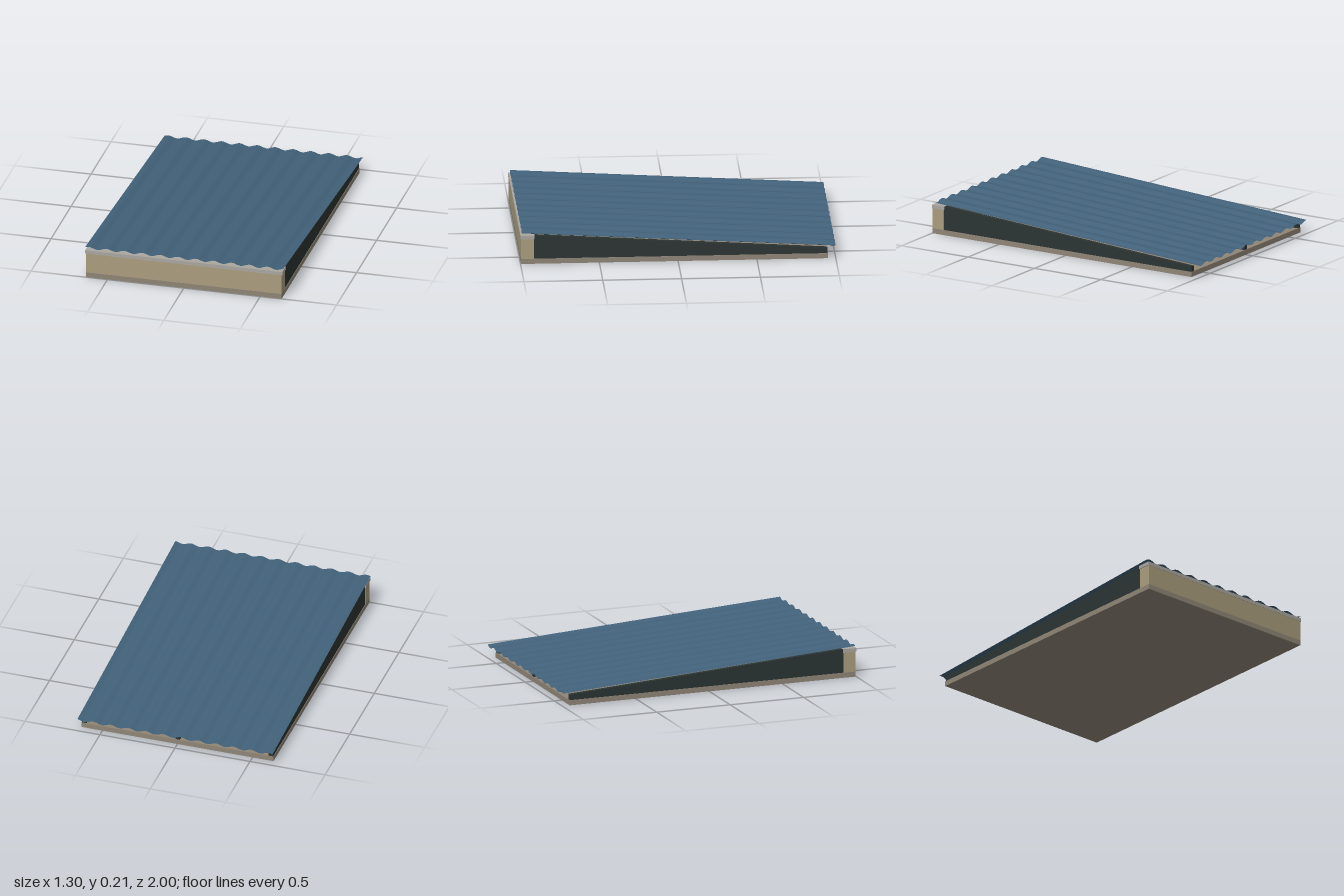
import * as THREE from 'three';

const material = (color, side = THREE.FrontSide) =>
  new THREE.MeshStandardMaterial({ color, side });

function addBox(group, name, mat, [x0, x1], [y0, y1], [z0, z1]) {
  const mesh = new THREE.Mesh(new THREE.BoxGeometry(x1 - x0, y1 - y0, z1 - z0), mat);
  mesh.position.set((x0 + x1) / 2, (y0 + y1) / 2, (z0 + z1) / 2);
  mesh.name = name;
  group.add(mesh);
}

// Wave sheet sloping from the tall front down to the back
function corrugatedSheet() {
  const halfWidth = 0.65, front = 0.99, back = -1, pitch = 0.117, amplitude = 0.0075;
  const geometry = new THREE.PlaneGeometry(halfWidth * 2, front - back, 132, 1);
  geometry.rotateX(-Math.PI / 2);
  geometry.translate(0, 0, (front + back) / 2);
  const p = geometry.attributes.position;
  for (let i = 0; i < p.count; i++) {
    const slope = THREE.MathUtils.mapLinear(p.getZ(i), back, front, 0.082, 0.202);
    const wave = amplitude * Math.cos((2 * Math.PI * (p.getX(i) + 0.625)) / pitch);
    p.setY(i, slope + wave);
  }
  geometry.computeVertexNormals();
  return geometry;
}

// Wedge-shaped rafter, profile drawn along z and extruded across x
function rafterGeometry(width) {
  const shape = new THREE.Shape();
  shape.moveTo(-0.915, 0.033);
  shape.lineTo(0.947, 0.033);
  shape.lineTo(0.947, 0.068);
  shape.lineTo(-0.915, 0.187);
  shape.closePath();
  const geometry = new THREE.ExtrudeGeometry(shape, { depth: width, bevelEnabled: false });
  geometry.translate(0, 0, -width / 2);
  geometry.rotateY(Math.PI / 2);
  return geometry;
}

export function createModel() {
  const group = new THREE.Group();
  const slabMat = material(0x8f8576);
  const wallMat = material(0xaa9d7d);
  const capMat = material(0xaaa6a0);
  const darkMat = material(0x2b3433);
  const roofMat = material(0x416179, THREE.DoubleSide);

  // Base slab and front upstand with its coping
  addBox(group, 'baseSlab', slabMat, [-0.64, 0.64], [0, 0.033], [-0.95, 0.997]);
  addBox(group, 'frontWall', wallMat, [-0.64, 0.64], [0.033, 0.165], [0.915, 0.997]);
  addBox(group, 'frontCap', capMat, [-0.645, 0.645], [0.165, 0.188], [0.91, 1]);

  // Two side rafters and one in the middle
  const rafter = rafterGeometry(0.03);
  for (const [name, x] of [['rightRafter', -0.622], ['middleRafter', 0], ['leftRafter', 0.622]]) {
    const mesh = new THREE.Mesh(rafter, darkMat);
    mesh.position.x = x;
    mesh.name = name;
    group.add(mesh);
  }

  // Roof covering
  const roof = new THREE.Mesh(corrugatedSheet(), roofMat);
  roof.name = 'corrugatedRoof';
  group.add(roof);

  return group;
}
